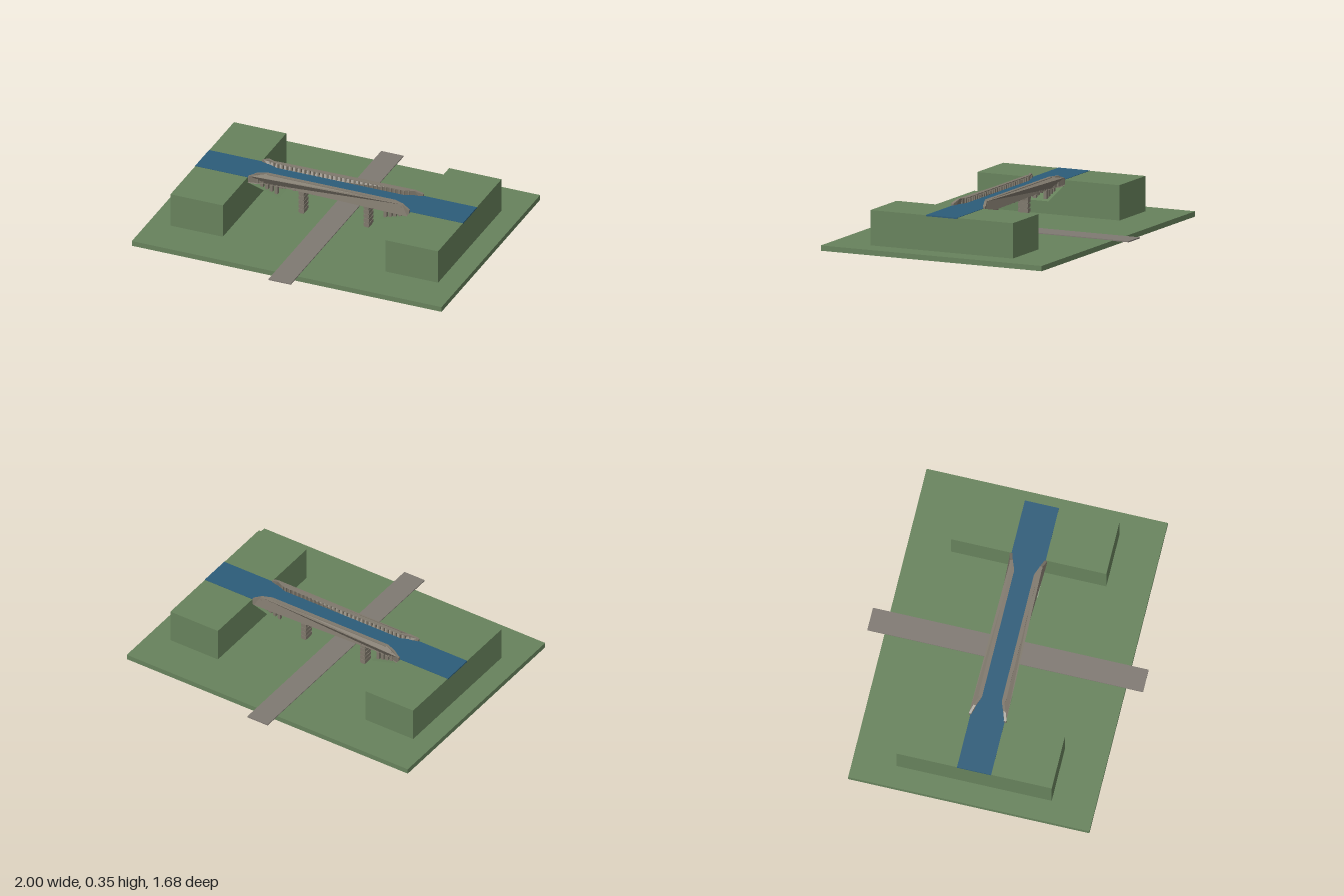
import * as THREE from 'three';

const mat = (name, color, side = THREE.FrontSide) => {
  const m = new THREE.MeshStandardMaterial({ color, side });
  m.name = name;
  return m;
};

export function createModel() {
  const root = new THREE.Group();
  root.name = 'canalBridge';
  const grass = mat('grass', 0x67825c, THREE.DoubleSide);
  const stone = mat('stone', 0x7f786c);
  const road = mat('roadGrey', 0x7f7972);
  const water = mat('water', 0x2c5c79);

  const add = (name, geo, material, parent = root) => {
    const m = new THREE.Mesh(geo, material);
    m.name = name;
    parent.add(m);
    return m;
  };
  // box given by its min and max corners
  const box = (name, x0, x1, y0, y1, z0, z1, material, parent) => {
    const m = add(name, new THREE.BoxGeometry(x1 - x0, y1 - y0, z1 - z0), material, parent);
    m.position.set((x0 + x1) / 2, (y0 + y1) / 2, (z0 + z1) / 2);
    return m;
  };
  // horizontal slab from an outline in x and z
  const slab = (name, pts, y0, y1, material) => {
    const shape = new THREE.Shape(pts.map(p => new THREE.Vector2(p[0], -p[1])));
    const g = new THREE.ExtrudeGeometry(shape, { depth: y1 - y0, bevelEnabled: false });
    g.rotateX(-Math.PI / 2).translate(0, y0, 0);
    return add(name, g, material);
  };
  // the channel widens toward both ends
  const flare = x => 0.038 * Math.min(1, Math.max(0, (Math.abs(x) - 0.41) / 0.1));

  // ground, road and banks
  box('ground', -1, 1, 0.075, 0.107, -0.735, 0.735, grass);
  box('road', -0.072, 0.072, 0.105, 0.112, -0.84, 0.84, road);
  for (const s of [-1, 1]) {
    const bank = box('bank', -0.169, 0.169, 0.107, 0.32, -0.473, 0.473, grass);
    bank.position.x = s * 0.695;
    // sloping earth under each end of the channel
    const slope = add('earthSlope', new THREE.PlaneGeometry(0.205, 0.21).rotateX(-Math.PI / 2), grass);
    const p = slope.geometry.attributes.position;
    for (let i = 0; i < p.count; i++) p.setY(i, s * p.getX(i) * 0.3);
    slope.geometry.computeVertexNormals();
    slope.position.set(s * 0.424, 0.256, 0);
  }

  // water and channel floor share a flared outline
  const outline = (end, half) => [
    [-end, half + 0.038], [-0.51, half + 0.038], [-0.41, half], [0.41, half], [0.51, half + 0.038], [end, half + 0.038],
    [end, -half - 0.038], [0.51, -half - 0.038], [0.41, -half], [-0.41, -half], [-0.51, -half - 0.038], [-end, -half - 0.038],
  ];
  slab('water', outline(0.865, 0.066), 0.314, 0.322, water);
  slab('channelFloor', outline(0.522, 0.066), 0.284, 0.296, stone);

  // channel walls with ribs on the outside
  const profile = [
    [-0.48, 0.284], [-0.41, 0.284], [0.41, 0.284], [0.48, 0.284], [0.51, 0.29], [0.52, 0.294], [0.52, 0.332],
    [0.51, 0.337], [0.47, 0.355], [0.41, 0.355], [-0.41, 0.355], [-0.47, 0.355], [-0.51, 0.337],
    [-0.52, 0.332], [-0.52, 0.294], [-0.51, 0.29],
  ].map(p => new THREE.Vector2(...p));
  for (const s of [-1, 1]) {
    const wall = new THREE.Group();
    wall.name = 'channelWall';
    root.add(wall);
    const g = new THREE.ExtrudeGeometry(new THREE.Shape(profile), { depth: 0.015, bevelEnabled: false });
    g.translate(0, 0, s > 0 ? 0.06 : -0.075);
    const p = g.attributes.position;
    for (let i = 0; i < p.count; i++) p.setZ(i, p.getZ(i) + s * flare(p.getX(i)));
    g.computeVertexNormals();
    add('wallPanel', g, stone, wall);
    for (let i = -16; i <= 16; i++) {
      const x = i * 0.029;
      const z = s * (0.075 + flare(x));
      box('rib', x - 0.005, x + 0.005, 0.29, 0.344, z - 0.006, z + 0.006, stone, wall);
    }
    const z = s * 0.077;
    box('topRail', -0.41, 0.41, 0.346, 0.355, z - 0.006, z + 0.006, stone, wall);
  }

  // floor joists
  for (let i = -6; i <= 6; i++) {
    const x = i * 0.06;
    box('joist', x - 0.008, x + 0.008, 0.277, 0.286, -0.075, 0.075, stone);
  }

  // short piles standing on the earth slopes
  for (const s of [-1, 1]) {
    for (const x of [0.352, 0.384, 0.414, 0.445]) {
      for (const z of [-0.072, 0, 0.072]) {
        box('pile', s * x - 0.01, s * x + 0.01, 0.235 + (x - 0.355) * 0.3, 0.286, z - 0.011, z + 0.011, stone);
      }
    }
  }

  // piers with raised bands and a spreading head
  for (const s of [-1, 1]) {
    const pier = new THREE.Group();
    pier.name = 'pier';
    pier.position.x = s * 0.21;
    root.add(pier);
    box('shaft', -0.014, 0.014, 0, 0.26, -0.03, 0.03, stone, pier);
    for (let i = 0; i < 9; i++) {
      const y = i * 0.029;
      box('band', -0.017, 0.017, y, y + 0.02, -0.033, 0.033, stone, pier);
    }
    const head = new THREE.Shape([
      [-0.016, 0.235], [0.016, 0.235], [0.019, 0.262], [0.028, 0.276], [0.028, 0.286],
      [-0.028, 0.286], [-0.028, 0.276], [-0.019, 0.262],
    ].map(p => new THREE.Vector2(...p)));
    const g = new THREE.ExtrudeGeometry(head, { depth: 0.07, bevelEnabled: false });
    add('pierHead', g.translate(0, 0, -0.035), stone, pier);
  }
  return root;
}
